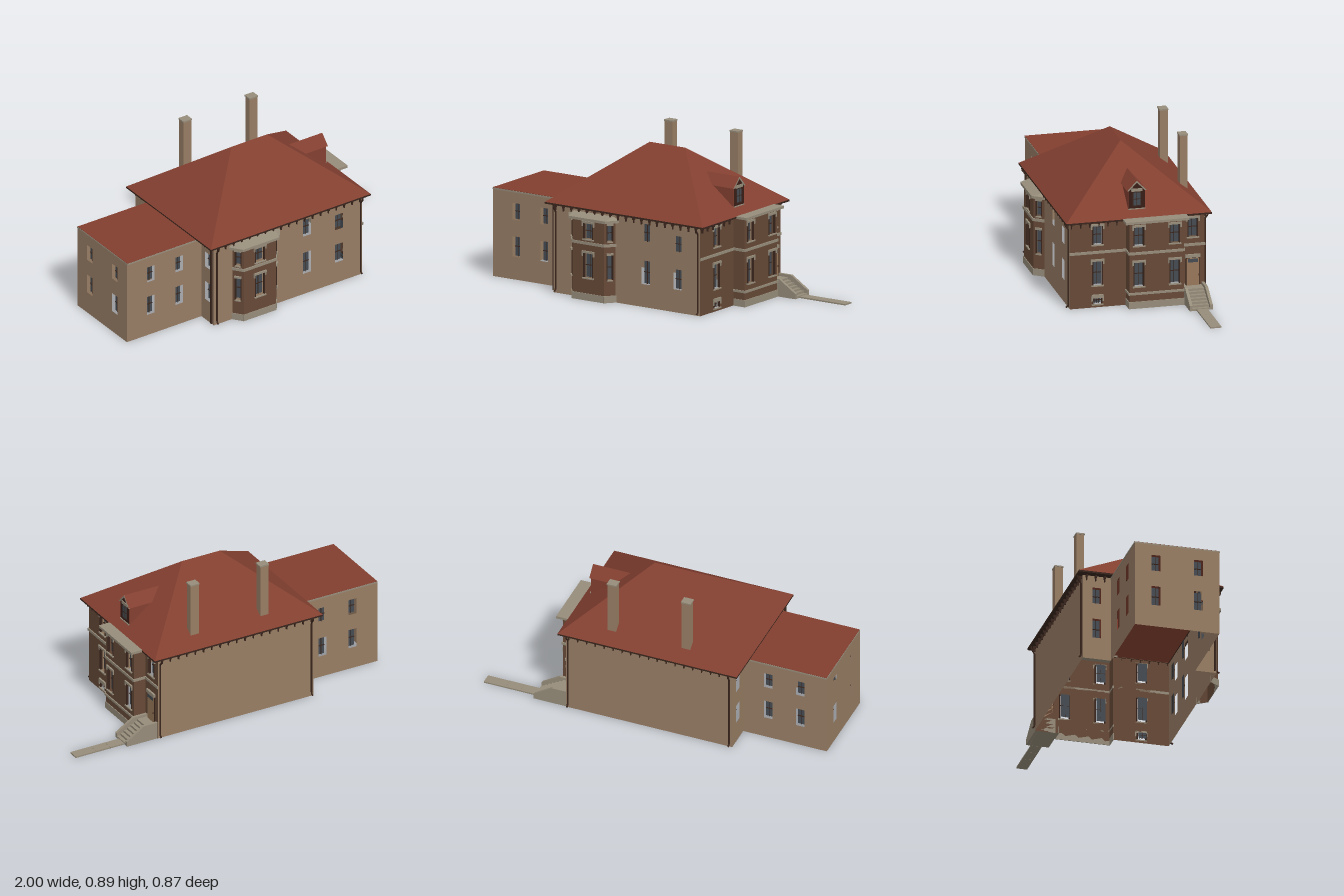
import * as THREE from 'three';

const mat = (name, color, side = THREE.FrontSide) => {
  const m = new THREE.MeshStandardMaterial({ color, side });
  m.name = name;
  return m;
};

export function createModel() {
  const tan = mat('tan brick', 0x977d64, THREE.DoubleSide);
  const brown = mat('brown brick', 0x664937, THREE.DoubleSide);
  const stone = mat('grey stone', 0x968c7a);
  const red = mat('red roof', 0x823f30, THREE.DoubleSide);
  const maroon = mat('dark maroon', 0x3a1d16);
  const glass = mat('window glass', 0x444b52, THREE.DoubleSide);
  const trim = mat('dark trim', 0x3a261d);
  const doorTan = mat('door wood', 0x98785a);

  const house = new THREE.Group();
  house.name = 'house';
  const add = (name, geo, m, parent = house) => {
    const mesh = new THREE.Mesh(geo, m);
    mesh.name = name;
    parent.add(mesh);
    return mesh;
  };
  // box from its minimum and maximum corners
  const box = (name, m, x0, x1, y0, y1, z0, z1, parent = house) => {
    const b = add(name, new THREE.BoxGeometry(x1 - x0, y1 - y0, z1 - z0), m, parent);
    b.position.set((x0 + x1) / 2, (y0 + y1) / 2, (z0 + z1) / 2);
    return b;
  };
  // convex faces, each a counter-clockwise list of corners
  const faces = (list) => {
    const p = [];
    for (const f of list) for (let i = 1; i < f.length - 1; i++) p.push(...f[0], ...f[i], ...f[i + 1]);
    const g = new THREE.BufferGeometry();
    g.setAttribute('position', new THREE.Float32BufferAttribute(p, 3));
    g.computeVertexNormals();
    return g;
  };
  const rect = (x0, x1, y0, y1) => [[x0, y0], [x1, y0], [x1, y1], [x0, y1]].map(([x, y]) => new THREE.Vector2(x, y));
  // horizontal slab from [x, z] plan points
  const slab = (plan, y0, y1, hole) => {
    const s = new THREE.Shape(plan.map(([x, z]) => new THREE.Vector2(x, -z)));
    if (hole) s.holes.push(new THREE.Path(hole.map(([x, z]) => new THREE.Vector2(x, -z))));
    return new THREE.ExtrudeGeometry(s, { depth: y1 - y0, bevelEnabled: false }).rotateX(-Math.PI / 2).translate(0, y0, 0);
  };
  const ring = (x0, x1, z0, z1) => [[x0, z0], [x1, z0], [x1, z1], [x0, z1]];

  // window: [centre, bottom, top, width], recessed behind its opening
  const windowUnit = (g, [u, y0, y1, w], dressed) => {
    const gap = dressed ? 0.002 : 0.004, d = -0.02;
    const pane = add('windowPane', new THREE.PlaneGeometry(w - 2 * gap, y1 - y0 - gap), glass, g);
    pane.position.set(u, (y0 + y1) / 2, d);
    const ym = (y0 + y1) / 2;
    box('windowRail', trim, u - w / 2 + gap, u + w / 2 - gap, ym - 0.002, ym + 0.002, d, d + 0.005, g);
    if (w > 0.04) box('windowMullion', trim, u - 0.001, u + 0.001, y0, y1, d, d + 0.004, g);
    if (!dressed) return;
    for (const s of [-1, 1]) {
      const e = u + s * (w / 2);
      box('windowJamb', trim, e - 0.003, e + 0.003, y0, y1, -0.01, 0.003, g);
      if (w > 0.04) box('lintelEar', stone, e + s * 0.007 - 0.004, e + s * 0.007 + 0.004, y1 - 0.018, y1, 0, 0.007, g);
    }
    const h = w / 2 + (w > 0.04 ? 0.011 : 0.003);
    box('windowLintel', stone, u - h, u + h, y1, y1 + 0.012, 0, 0.009, g);
    box('windowSill', stone, u - h + 0.003, u + h - 0.003, y0 - 0.007, y0, 0, 0.009, g);
  };
  // wall from [x, z] to [x, z], left to right as seen from outside
  const wall = (name, m, a, b, top, windows = [], dressed = false) => {
    const g = new THREE.Group();
    g.name = name;
    const dx = b[0] - a[0], dz = b[1] - a[1], len = Math.hypot(dx, dz);
    g.position.set(a[0], 0, a[1]);
    g.rotation.y = Math.atan2(-dz, dx);
    const s = new THREE.Shape(rect(0, len, 0, top));
    for (const [u, y0, y1, w] of windows) s.holes.push(new THREE.Path(rect(u - w / 2, u + w / 2, y0, y1)));
    add(name + 'Face', new THREE.ShapeGeometry(s), m, g);
    windows.forEach((w) => windowUnit(g, w, dressed));
    house.add(g);
    g.userData.length = len;
    return g;
  };
  const band = (g, y0, y1, d = 0.006) => box('stoneBand', stone, -0.003, g.userData.length + 0.003, y0, y1, 0, d, g);
  const stack = (u, w = 0.05) => [[u, 0.13, 0.245, w], [u, 0.34, 0.435, w]];

  // main block
  const L = -0.5, R = 0.495, F = 0.367, B = -0.402, H = 0.51;
  wall('frontWall', tan, [L, F], [R, F], H,
    [[0.625, 0.13, 0.265, 0.055], [0.625, 0.37, 0.475, 0.055], ...stack(0.84, 0.055)]);
  wall('backWall', tan, [R, B], [L, B], H);
  wall('leftBackWall', tan, [L, B], [L, -0.24], H, stack(0.08));
  wall('leftFrontWall', tan, [L, 0.245], [L, F], H, stack(0.06));

  // left wing
  wall('wingFront', tan, [-1, 0.245], [L, 0.245], 0.5, [...stack(0.16), ...stack(0.35)]);
  wall('wingBack', tan, [L, -0.24], [-1, -0.24], 0.5, [...stack(0.15), ...stack(0.34)]);
  wall('wingLeft', tan, [-1, -0.24], [-1, 0.245], 0.5, [...stack(0.12), ...stack(0.365)]);
  add('wingCornice', slab(ring(-1, L, -0.243, 0.248), 0.496, 0.505, ring(-0.99, L - 0.003, -0.232, 0.237)), stone);
  add('wingRoof', slab(ring(-0.998, L, -0.241, 0.246), 0.504, 0.507), red);

  // right side: front stretch, projecting bay, entrance stretch
  const X = 0.57, P0 = 0.046, P1 = -0.265;
  const tall = (u) => [[u, 0.13, 0.27, 0.055], [u, 0.368, 0.477, 0.055]];
  const rightFront = wall('rightFrontWall', brown, [R, F], [R, P0], H, [...tall(F - 0.21), [F - 0.21, 0.02, 0.055, 0.05]], true);
  box('ventLintel', stone, F - 0.243, F - 0.177, 0.057, 0.075, 0, 0.01, rightFront);
  for (let i = -1; i <= 1; i++) box('ventBar', trim, F - 0.211 + i * 0.012, F - 0.209 + i * 0.012, 0.02, 0.055, -0.015, -0.01, rightFront);
  const entry = wall('entranceWall', brown, [R, P1], [R, B], H, [[0.07, 0.368, 0.477, 0.055]], true);
  const bay = wall('rightBayFace', brown, [X, P0], [X, P1], H, [...tall(P0 + 0.008), ...tall(P0 + 0.213)], true);
  const bayReturns = [wall('rightBayFrontReturn', brown, [R, P0], [X, P0], H), wall('rightBayBackReturn', brown, [X, P1], [R, P1], H)];
  [rightFront, entry, bay, ...bayReturns].forEach((g) => band(g, 0.315, 0.33));
  [bay, ...bayReturns].forEach((g) => { band(g, 0.08, 0.093); band(g, 0, 0.04, 0.004); });
  box('rightBayRoof', stone, R, 0.6, 0.503, 0.517, -0.29, 0.073);

  // door
  box('doorFrame', trim, 0.03, 0.108, 0.085, 0.248, 0, 0.004, entry);
  box('door', doorTan, 0.034, 0.104, 0.085, 0.243, 0, 0.007, entry);
  box('transom', glass, 0.04, 0.098, 0.22, 0.24, 0.004, 0.009, entry);
  box('doorKnob', trim, 0.098, 0.101, 0.14, 0.15, 0.005, 0.012, entry);
  box('doorLintel', stone, 0.026, 0.112, 0.248, 0.266, 0, 0.012, entry);

  // steps, cheek walls and path
  const N = 7;
  for (let i = 0; i < N; i++)
    box('step', stone, R, 0.56 + i * 0.0215, 0, 0.085 * (N - i) / N, -0.383, -0.283);
  const cheek = new THREE.Shape([[R, 0], [0.69, 0], [0.69, 0.03], [0.58, 0.1], [R, 0.1]].map((p) => new THREE.Vector2(...p)));
  for (const z of [-0.4, -0.285])
    add('stepCheek', new THREE.ExtrudeGeometry(cheek, { depth: 0.016, bevelEnabled: false }), stone).position.z = z;
  for (const [x0, x1] of [[0.69, 0.78], [0.781, 0.87], [0.871, 1]])
    box('path', stone, x0, x1, 0, 0.008, -0.37, -0.308);

  // canted front bay
  const plan = [[-0.375, F], [-0.335, 0.42], [-0.12, 0.42], [-0.08, F]];
  for (let i = 0; i < 3; i++) {
    const mid = i === 1;
    const u = mid ? 0.1075 : 0.033, w = mid ? 0.06 : 0.034;
    const g = wall('frontBayFace', brown, plan[i], plan[i + 1], 0.46, [[u, 0.13, 0.27, w], [u, 0.35, 0.44, w]], true);
    band(g, 0.318, 0.334);
    band(g, 0, 0.04, 0.004);
  }
  const eave = [[-0.4, F], [-0.35, 0.435], [-0.105, 0.435], [-0.055, F]];
  add('frontBayCornice', slab(eave, 0.455, 0.47), stone);
  const lo = eave.map(([x, z]) => [x, 0.47, z]);
  const hi = [[-0.36, 0.487, F], [-0.095, 0.487, F]];
  add('frontBayRoof', faces([[lo[0], lo[1], hi[0]], [lo[1], lo[2], hi[1], hi[0]], [lo[2], lo[3], hi[1]]]), stone);

  // hipped roof and eaves
  const a = [-0.54, 0.515, 0.397], b = [0.533, 0.515, 0.397], c = [0.533, 0.515, -0.435], d = [-0.54, 0.515, -0.435];
  const r1 = [-0.12, 0.835, -0.017], r2 = [0.12, 0.835, -0.017];
  add('mainRoof', faces([[a, b, r2, r1], [b, c, r2], [c, d, r1, r2], [d, a, r1]]), red);
  add('eaves', slab(ring(-0.54, 0.533, -0.435, 0.397), 0.505, 0.515, ring(L + 0.005, R - 0.005, B + 0.005, F - 0.005)), trim);

  // cornice brackets
  const bracket = (x, z, dx, dz) => {
    box('bracket', trim, x - dx, x + dx, 0.49, 0.506, z - dz, z + dz);
    box('bracketFoot', trim, x - dx * 0.6, x + dx * 0.6, 0.473, 0.49, z - dz * 0.6, z + dz * 0.6);
  };
  for (let x = L + 0.02; x < R; x += 0.053) {
    bracket(x, F + 0.009, 0.004, 0.009);
    bracket(x, B - 0.009, 0.004, 0.009);
  }
  for (let z = 0.36; z > 0.08; z -= 0.052) bracket(R + 0.009, z, 0.009, 0.004);
  for (let z = B + 0.02; z < F; z += 0.052) bracket(L - 0.009, z, 0.009, 0.004);

  // corner downspouts: eave, offset to the wall, kick at the foot
  for (const [x, z, s] of [[-0.483, F, 1], [0.483, F, 1], [0.483, B, -1], [-0.483, B, -1]]) {
    const pts = [[0.505, 0.026], [0.49, 0.024], [0.465, 0.006], [0.02, 0.006], [0.008, 0.02]];
    const path = new THREE.CurvePath();
    for (let i = 0; i < pts.length - 1; i++) {
      const [p, q] = [pts[i], pts[i + 1]].map(([y, o]) => new THREE.Vector3(x, y, z + s * o));
      path.add(new THREE.LineCurve3(p, q));
    }
    add('downspout', new THREE.TubeGeometry(path, 60, 0.005, 6), trim);
  }
  box('sideDownspout', trim, -0.513, -0.503, 0.01, 0.505, 0.35, 0.36);

  // chimneys
  for (const x of [-0.207, 0.237]) {
    box('chimney', tan, x - 0.026, x + 0.026, 0.54, 0.88, -0.364, -0.32);
    box('chimneyCap', stone, x - 0.029, x + 0.029, 0.88, 0.888, -0.367, -0.317);
  }

  // dormer, drawn across its face and pushed out along x
  const dormer = new THREE.Group();
  dormer.name = 'dormer';
  dormer.rotation.y = Math.PI / 2;
  dormer.position.z = -0.017;
  house.add(dormer);
  const gable = (pts) => new THREE.Shape(pts.map((p) => new THREE.Vector2(...p)));
  const front = gable([[-0.048, 0.555], [0.048, 0.555], [0.048, 0.668], [0, 0.715], [-0.048, 0.668]]);
  add('dormerBody', new THREE.ExtrudeGeometry(front, { depth: 0.145, bevelEnabled: false }), red, dormer).position.z = 0.339;
  add('dormerFace', new THREE.ShapeGeometry(front), maroon, dormer).position.z = 0.485;
  const rake = gable([[-0.056, 0.661], [-0.046, 0.661], [0, 0.71], [0.046, 0.661], [0.056, 0.661], [0, 0.72]]);
  add('dormerRake', new THREE.ExtrudeGeometry(rake, { depth: 0.007, bevelEnabled: false }), stone, dormer).position.z = 0.484;
  add('dormerRoof', faces([
    [[-0.056, 0.662, 0.335], [-0.056, 0.662, 0.49], [0, 0.721, 0.49], [0, 0.721, 0.266]],
    [[0.056, 0.662, 0.49], [0.056, 0.662, 0.335], [0, 0.721, 0.266], [0, 0.721, 0.49]],
  ]), red, dormer);
  box('dormerFrame', trim, -0.025, 0.025, 0.57, 0.656, 0.485, 0.487, dormer);
  box('dormerGlass', glass, -0.02, 0.02, 0.576, 0.65, 0.485, 0.488, dormer);
  box('dormerMullion', trim, -0.001, 0.001, 0.576, 0.65, 0.485, 0.49, dormer);
  box('dormerRail', trim, -0.02, 0.02, 0.611, 0.615, 0.485, 0.49, dormer);
  box('dormerLintel', stone, -0.031, 0.031, 0.657, 0.674, 0.485, 0.49, dormer);
  box('dormerSill', stone, -0.048, 0.048, 0.553, 0.558, 0.48, 0.49, dormer);

  return house;
}
